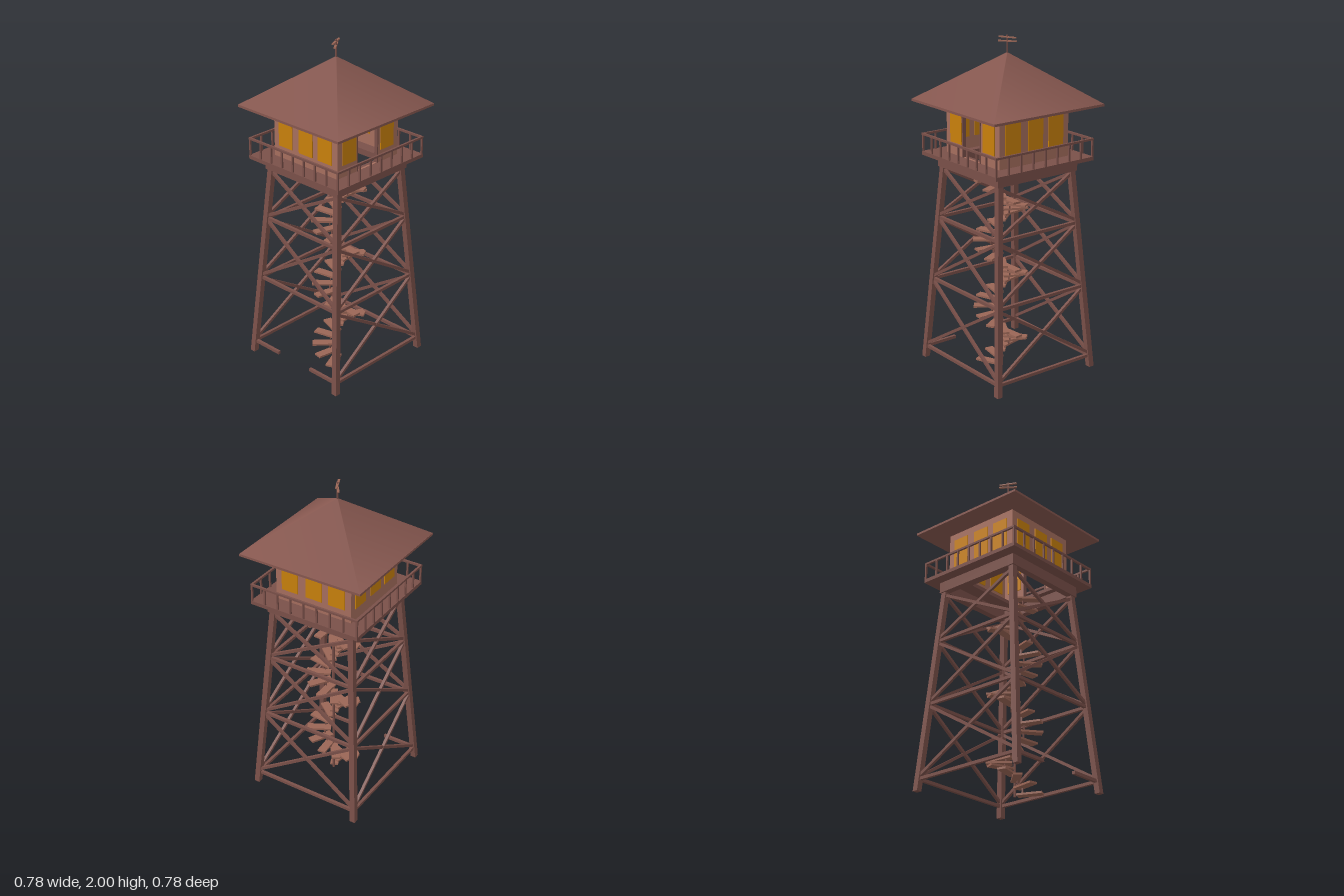
import * as THREE from 'three';

const mat = (color) => new THREE.MeshStandardMaterial({ color, side: THREE.DoubleSide });
const timber = mat(0x7a5049), wallMat = mat(0xa56e5e), roofMat = mat(0x86574f);
const glass = mat(0xc8800c), stepMat = mat(0x9a6656);

export function createModel() {
  const root = new THREE.Group();

  const section = (name, parent = root) => {
    const g = new THREE.Group();
    g.name = name;
    parent.add(g);
    return g;
  };
  const add = (parent, name, geometry, material, x = 0, y = 0, z = 0) => {
    const m = new THREE.Mesh(geometry, material);
    m.name = name;
    m.position.set(x, y, z);
    parent.add(m);
    return m;
  };
  const box = (parent, name, w, h, d, material, x, y, z) =>
    add(parent, name, new THREE.BoxGeometry(w, h, d), material, x, y, z);
  // Square bar between two points
  const beam = (parent, name, a, b, t, material = timber) => {
    const m = box(parent, name, t, t, a.distanceTo(b), material, 0, 0, 0);
    m.position.copy(a).add(b).multiplyScalar(0.5);
    m.lookAt(b);
    return m;
  };

  // Legs lean inward between the ground and the platform
  const lowY = 0.02, highY = 1.235;
  const corner = (sx, sz, y) => {
    const t = (y - lowY) / (highY - lowY);
    return new THREE.Vector3(sx * (0.345 - 0.085 * t), y, sz * (0.361 - 0.101 * t));
  };
  const legs = section('legs');
  for (const sx of [-1, 1]) for (const sz of [-1, 1]) {
    const g = new THREE.BoxGeometry(0.034, highY - lowY, 0.034);
    const p = g.attributes.position;
    for (let i = 0; i < p.count; i++) {
      const y = p.getY(i) > 0 ? highY : lowY;
      const c = corner(sx, sz, y);
      p.setXYZ(i, p.getX(i) + c.x, y, p.getZ(i) + c.z);
    }
    g.computeVertexNormals();
    add(legs, 'leg', g, timber);
  }

  // Horizontal and crossed braces; the lowest front bay is left open as entrance
  const braces = section('braces');
  const faces = [[[-1, 1], [1, 1]], [[1, 1], [1, -1]], [[1, -1], [-1, -1]], [[-1, -1], [-1, 1]]];
  const levels = [0.09, 0.53, 0.918, 1.225];
  faces.forEach(([a, b], f) => {
    for (let i = 0; i < 3; i++) {
      const pa = corner(...a, levels[i]), pb = corner(...b, levels[i]);
      if (f === 0 && i === 0) {
        beam(braces, 'entranceBrace', pa, pa.clone().lerp(pb, 0.31), 0.018);
        beam(braces, 'entranceBrace', pb, pb.clone().lerp(pa, 0.31), 0.018);
        continue;
      }
      beam(braces, 'horizontalBrace', pa, pb, 0.018);
      const y0 = levels[i] + 0.015, y1 = levels[i + 1] - 0.01;
      beam(braces, 'crossBrace', corner(...a, y0), corner(...b, y1), 0.017);
      beam(braces, 'crossBrace', corner(...b, y0), corner(...a, y1), 0.017);
    }
  });

  // Spiral stair around a central pole
  const stair = section('spiralStair');
  stair.position.set(0.037, 0, 0.015);
  add(stair, 'stairPole', new THREE.CylinderGeometry(0.008, 0.008, 1.565, 8), timber, 0, 0.7825, 0);
  const rise = 0.0377, turn = (Math.PI * 2) / 10.9;
  for (let i = 0; i < 33; i++) {
    const step = section('step', stair);
    step.position.y = 0.007 + i * rise;
    step.rotation.y = 0.4 - i * turn;
    box(step, 'tread', 0.05, 0.012, 0.145, stepMat, 0, 0, 0.0875);
    if (i < 32) box(step, 'treadSupport', 0.008, rise, 0.008, timber, -0.02, rise / 2, 0.05);
  }

  // Platform: beam frame and a deck with a stair opening
  const rect = (P, x0, x1, y0, y1) => {
    const s = new P();
    s.moveTo(x0, y0);
    s.lineTo(x1, y0);
    s.lineTo(x1, y1);
    s.lineTo(x0, y1);
    s.closePath();
    return s;
  };
  const slab = (shape, depth) => new THREE.ExtrudeGeometry(shape, { depth, bevelEnabled: false });
  const platform = section('platform');
  const deck = rect(THREE.Shape, -0.35, 0.35, -0.35, 0.35);
  deck.holes.push(rect(THREE.Path, -0.14, 0.21, -0.19, 0.16));
  add(platform, 'deck', slab(deck, 0.022), timber, 0, 1.293, 0).rotation.x = -Math.PI / 2;
  for (const s of [-1, 1]) {
    box(platform, 'frameBeam', 0.57, 0.065, 0.04, timber, 0, 1.261, s * 0.265);
    box(platform, 'frameBeam', 0.04, 0.065, 0.49, timber, s * 0.265, 1.261, 0);
  }

  // Railing and cabin wall on each side; side 1 (+x) has the doorway
  const railing = section('railing'), cabin = section('cabin');
  const centers = [-0.153, 0.006, 0.153];
  for (let k = 0; k < 4; k++) {
    const rail = section('railingSide', railing);
    rail.rotation.y = (k * Math.PI) / 2;
    box(rail, 'handrail', 0.7, 0.012, 0.012, timber, 0, 1.417, 0.344);
    for (let i = 0; i < 8; i++)
      box(rail, 'railPost', 0.01, 0.105, 0.01, timber, -0.344 + i * 0.086, 1.363, 0.344);

    const side = section('cabinSide', cabin);
    side.rotation.y = (k * Math.PI) / 2;
    const wall = rect(THREE.Shape, -0.246, 0.246, 1.31, 1.62);
    if (k === 1) wall.holes.push(rect(THREE.Path, -0.09, 0.075, 1.316, 1.565));
    add(side, 'wall', slab(wall, 0.014), wallMat, 0, 0, 0.232);
    centers.forEach((x, i) => {
      if (k === 1 && i === 1) return;
      box(side, 'window', 0.106, 0.178, 0.024, glass, x, 1.476, 0.239);
    });
    if (k === 1) {
      for (const x of [-0.09, 0.075]) box(side, 'doorJamb', 0.008, 0.25, 0.022, timber, x, 1.44, 0.239);
      box(side, 'doorLintel', 0.173, 0.008, 0.022, timber, -0.0075, 1.565, 0.239);
    }
  }

  // Roof: smooth-shaded pyramid on a thin eave
  const roof = section('roof');
  const R = 0.388 * Math.SQRT2;
  add(roof, 'roofSlope', new THREE.CylinderGeometry(0.003, R, 0.28, 4, 1, true), roofMat, 0, 1.762, 0)
    .rotation.y = Math.PI / 4;
  box(roof, 'eave', 0.776, 0.014, 0.776, roofMat, 0, 1.616, 0);

  // Rooftop mast with two crossed bars
  const mast = section('mast');
  add(mast, 'mastPole', new THREE.CylinderGeometry(0.005, 0.005, 0.12, 8), timber, 0, 1.94, 0);
  box(mast, 'mastBar', 0.013, 0.007, 0.108, stepMat, -0.002, 1.966, 0).rotation.y = 0.64;
  box(mast, 'mastBar', 0.013, 0.007, 0.108, stepMat, -0.002, 1.988, 0).rotation.y = 0.43;

  return root;
}
